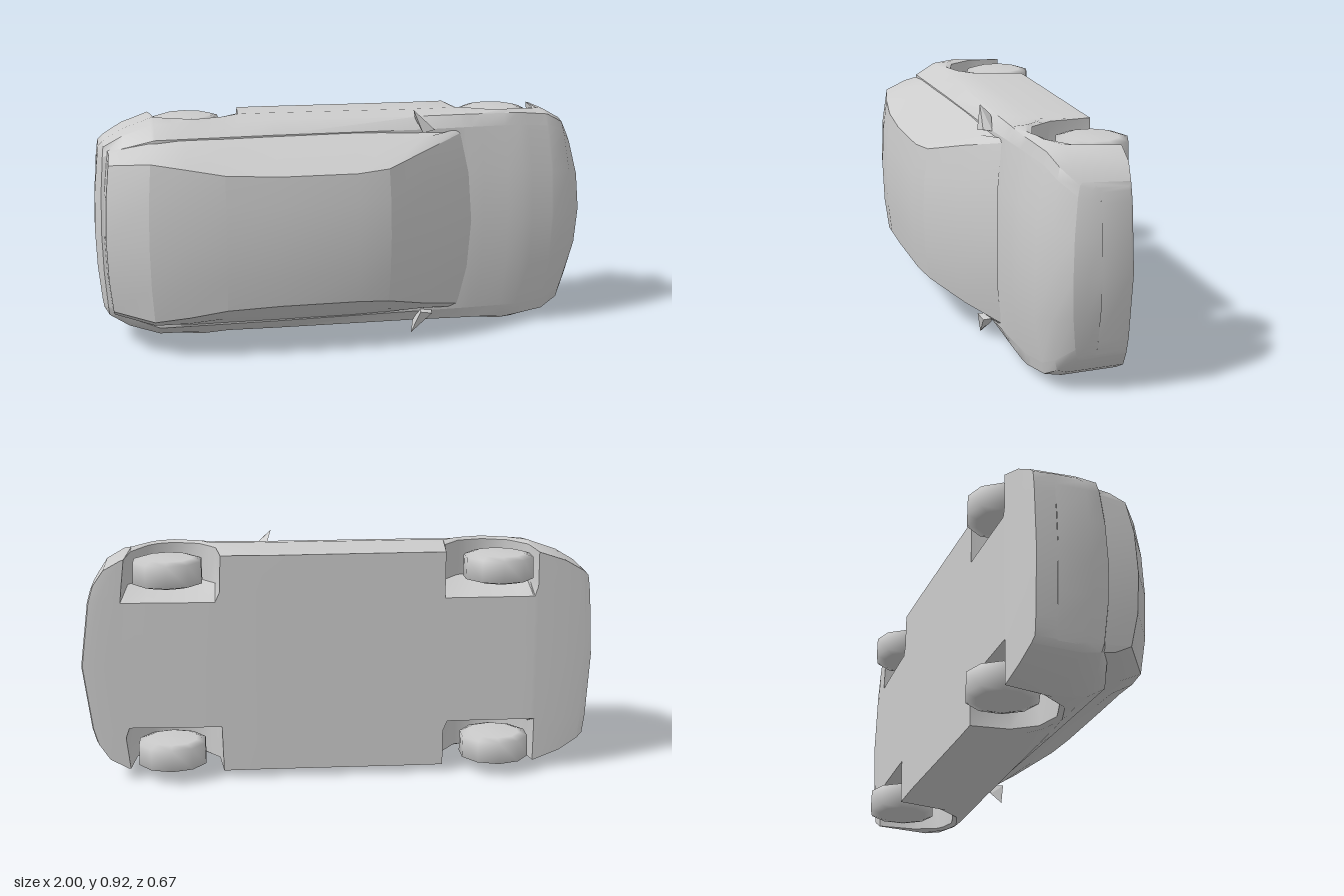
import * as THREE from 'three';
import { toCreasedNormals } from 'three/addons/utils/BufferGeometryUtils.js';
import { ConvexGeometry } from 'three/addons/geometries/ConvexGeometry.js';

// The car lies on its side: nose to +x, roof to +z, width along y.
const MID = 0.46;
const material = new THREE.MeshStandardMaterial({ color: 0xcccccc, side: THREE.DoubleSide });
const ARCHES = [-0.59, 0.64];
const ARCH_SHAPE = [[0, 0.02], [0.1, -0.01], [0.165, -0.1], [0.182, -0.25]];

// Linear lookup in rows sorted by their first entry
function lookup(rows, x) {
  let i = 0;
  while (i < rows.length - 2 && x > rows[i + 1][0]) i++;
  const a = rows[i], b = rows[i + 1];
  const t = THREE.MathUtils.clamp((x - a[0]) / (b[0] - a[0]), 0, 1);
  return a.map((v, k) => v + (b[k] - v) * t);
}

// Mirrors half a section, [w, z] pairs, and bows its middle along x
function section(x, bow, half) {
  const w0 = Math.max(...half.map(p => p[0]));
  const full = [...half, ...half.slice(0, -1).reverse().map(([w, z]) => [-w, z])];
  return full.map(([w, z]) => new THREE.Vector3(x + bow * (1 - (w / w0) ** 2), MID + w, z));
}

// Surface over sections r0..r1 and the given column ranges
function patch(group, name, rings, r0, r1, ranges) {
  const pos = [];
  for (let i = r0; i < r1; i++) {
    for (const [c0, c1] of ranges) {
      for (let j = c0; j < c1; j++) {
        const a = rings[i][j], b = rings[i + 1][j], c = rings[i][j + 1], d = rings[i + 1][j + 1];
        for (const p of [a, c, b, c, d, b]) pos.push(p.x, p.y, p.z);
      }
    }
  }
  const geo = new THREE.BufferGeometry();
  geo.setAttribute('position', new THREE.Float32BufferAttribute(pos, 3));
  const mesh = new THREE.Mesh(toCreasedNormals(geo, 0.75), material);
  mesh.name = name;
  group.add(mesh);
}

function buildBody(group) {
  // x, half width, bottom, shoulder, deck, bow
  const rows = [
    [-0.975, 0.33, -0.21, -0.01, 0.0, -0.025],
    [-0.955, 0.35, -0.215, 0.05, 0.07, -0.02],
    [-0.88, 0.395, -0.23, 0.09, 0.1, -0.015],
    [-0.76, 0.437, -0.245, 0.135, 0.14, 0],
    [-0.3, 0.44, -0.25, 0.115, 0.12, 0],
    [0.3, 0.438, -0.26, 0.09, 0.1, 0],
    [0.5, 0.44, -0.26, 0.075, 0.105, 0.01],
    [0.7, 0.44, -0.255, 0.06, 0.098, 0.02],
    [0.83, 0.425, -0.25, 0.035, 0.072, 0.03],
    [0.9, 0.385, -0.25, 0.01, 0.038, 0.04],
    [0.94, 0.325, -0.245, -0.05, -0.025, 0.055],
    [0.95, 0.31, -0.235, -0.09, -0.075, 0.05],
  ];
  const xs = rows.map(r => r[0]);
  for (const c of ARCHES) for (const [d] of ARCH_SHAPE) xs.push(c - d, c + d);
  const stations = [...new Set(xs)].sort((a, b) => a - b);
  const ring = (x, flat) => {
    const [, hw, bottom, shoulder, deck, bow] = lookup(rows, x);
    const d = Math.min(...ARCHES.map(c => Math.abs(x - c)));
    const sill = d < 0.18 ? Math.max(bottom, lookup(ARCH_SHAPE, d)[1]) : bottom;
    const half = [
      [0, bottom], [0.25, bottom], [0.29, sill], [hw * 0.98, sill],
      [hw, Math.min(shoulder - 0.02, Math.max(-0.04, sill + 0.02))],
      [hw * 0.97, Math.min(shoulder - 0.01, 0.055)],
      [hw * 0.86, shoulder], [hw * 0.45, deck - 0.006], [0, deck],
    ];
    return section(x, bow, flat ? half.map(([w]) => [w, -0.13]) : half);
  };
  const rings = stations.map(x => ring(x, false));
  // Flat end sections close the tail and nose
  rings.unshift(ring(stations[0], true));
  rings.push(ring(stations.at(-1), true));
  const n = rings.length - 1;
  patch(group, 'rearBumper', rings, 0, 2, [[0, 16]]);
  patch(group, 'floorAndWheelWells', rings, 2, n - 2, [[0, 3], [13, 16]]);
  patch(group, 'bodySides', rings, 2, n - 2, [[3, 6], [10, 13]]);
  patch(group, 'hoodAndDeck', rings, 2, n - 2, [[6, 10]]);
  patch(group, 'frontBumper', rings, n - 2, n, [[0, 16]]);
}

function buildCabin(group) {
  // x, base half width, roof half width, base z, roof edge z, roof centre z, bow
  const rows = [
    [-0.94, 0.33, 0.3, 0.04, 0.05, 0.06, -0.025],
    [-0.935, 0.33, 0.29, 0.04, 0.16, 0.19, -0.025],
    [-0.78, 0.37, 0.31, 0.1, 0.265, 0.29, -0.02],
    [-0.65, 0.375, 0.29, 0.12, 0.292, 0.315, -0.01],
    [-0.51, 0.375, 0.265, 0.115, 0.308, 0.327, 0],
    [-0.3, 0.375, 0.255, 0.11, 0.314, 0.333, 0],
    [0, 0.375, 0.255, 0.1, 0.306, 0.326, 0],
    [0.12, 0.375, 0.265, 0.09, 0.285, 0.307, 0.01],
    [0.29, 0.37, 0.315, 0.075, 0.185, 0.212, 0.03],
    [0.45, 0.365, 0.355, 0.06, 0.08, 0.108, 0.05],
  ];
  const rings = rows.map(([x, wb, wr, zb, zr, zc, bow]) => section(x, bow, [
    [wb, zb], [wb * 0.45 + wr * 0.55 + 0.012, (zb + zr) / 2],
    [wr, zr], [wr * 0.55, zc - 0.006], [0, zc],
  ]));
  patch(group, 'sideWindows', rings, 0, 9, [[0, 2], [6, 8]]);
  patch(group, 'tailgate', rings, 0, 2, [[2, 6]]);
  patch(group, 'rearWindow', rings, 2, 4, [[2, 6]]);
  patch(group, 'roof', rings, 4, 7, [[2, 6]]);
  patch(group, 'windscreen', rings, 7, 9, [[2, 6]]);
}

function buildWheels(group) {
  // Few-sided wheels with smooth shading, axle along y
  const profile = [[0, -0.055], [0.1, -0.053], [0.138, -0.042], [0.136, 0.042], [0.1, 0.053], [0, 0.055]]
    .map(([r, y]) => new THREE.Vector2(r, y));
  const geo = new THREE.LatheGeometry(profile, 10);
  for (const [end, x] of [['rear', -0.62], ['front', 0.66]]) {
    for (const s of [-1, 1]) {
      const wheel = new THREE.Mesh(geo, material);
      wheel.name = end + (s > 0 ? 'LeftWheel' : 'RightWheel');
      wheel.position.set(x, MID + s * 0.363, -0.198);
      group.add(wheel);
    }
  }
}

function buildMirrors(group) {
  // Pointed door mirrors
  const corners = [
    [0.255, 0.46, 0.11], [0.27, 0.42, 0.07], [0.3, 0.37, 0.075],
    [0.345, 0.375, 0.085], [0.34, 0.38, 0.12], [0.29, 0.37, 0.13],
  ];
  for (const s of [-1, 1]) {
    const mirror = new THREE.Mesh(
      new ConvexGeometry(corners.map(([x, w, z]) => new THREE.Vector3(x, MID + s * w, z))), material);
    mirror.name = s > 0 ? 'leftMirror' : 'rightMirror';
    group.add(mirror);
  }
}

export function createModel() {
  const group = new THREE.Group();
  group.name = 'car';
  buildBody(group);
  buildCabin(group);
  buildWheels(group);
  buildMirrors(group);
  return group;
}
